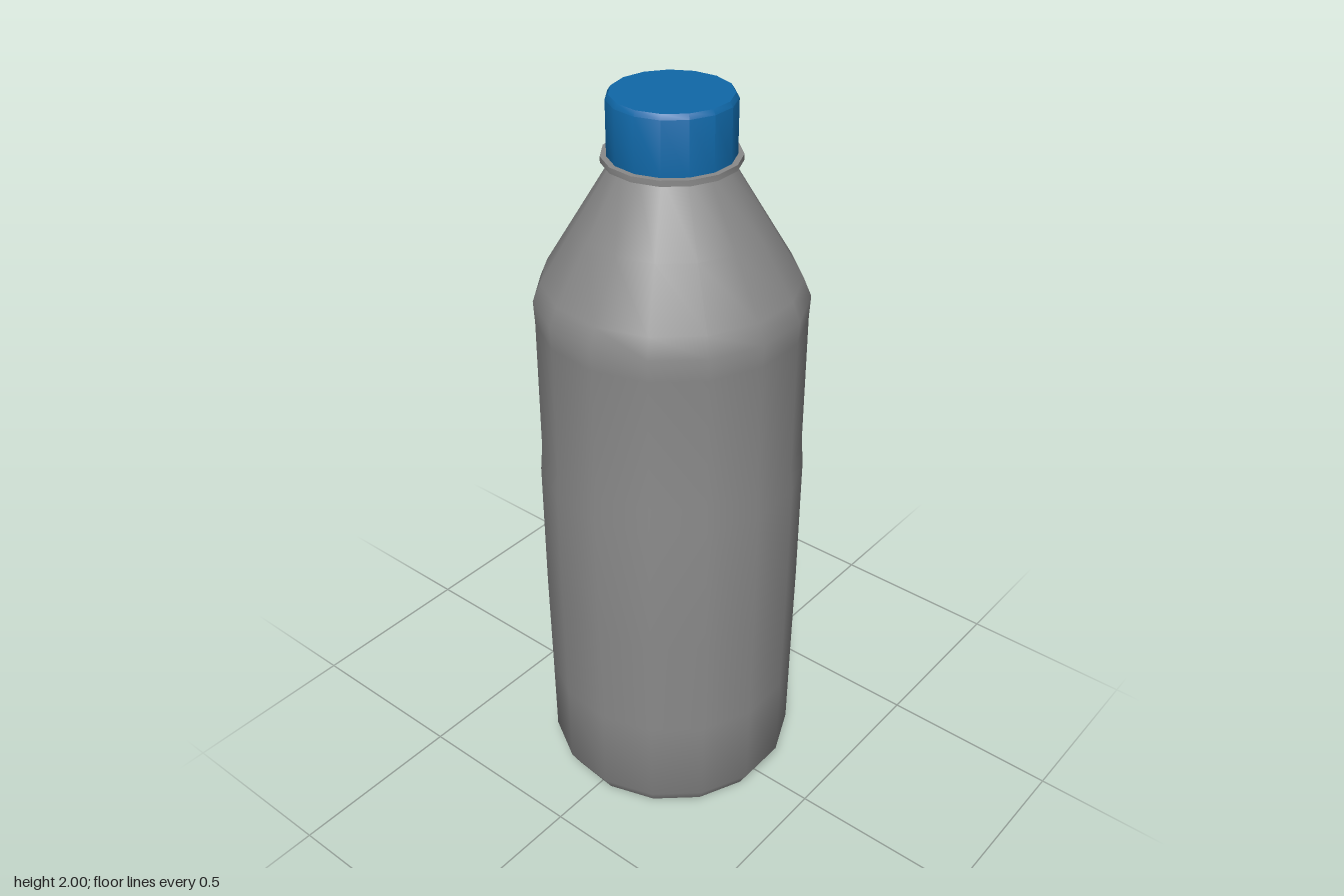
import * as THREE from 'three';
import { toCreasedNormals } from 'three/addons/utils/BufferGeometryUtils.js';

const SIDES = 15;

// Revolves a bottom-to-top [radius, height] profile, with a corner at the back
function revolve(name, profile, material) {
  const points = profile.map(([r, y]) => new THREE.Vector2(r, y));
  const lathe = new THREE.LatheGeometry(points, SIDES, Math.PI);
  const mesh = new THREE.Mesh(toCreasedNormals(lathe, THREE.MathUtils.degToRad(38)), material);
  mesh.name = name;
  return mesh;
}

export function createModel() {
  const grey = new THREE.MeshStandardMaterial({ color: 0x8a8a8a });
  grey.name = 'grey plastic';
  const blue = new THREE.MeshStandardMaterial({ color: 0x1068a8 });
  blue.name = 'blue plastic';

  const bottle = new THREE.Group();
  bottle.name = 'bottle';

  // Raised base
  bottle.add(revolve('base', [[0, 0.06], [0.08, 0.05], [0.22, 0.02], [0.322, 0]], grey));

  // Body with a bevelled foot, slightly slimmer upper half and sloping shoulder
  bottle.add(revolve('body', [
    [0.322, 0], [0.348, 0.045], [0.35, 0.3], [0.353, 0.6], [0.353, 0.98],
    [0.347, 1.05], [0.346, 1.42], [0.349, 1.48], [0.328, 1.53],
    [0.24, 1.675], [0.14, 1.84],
  ], grey));

  // Thin collar under the cap
  bottle.add(revolve('collar', [[0.12, 1.836], [0.172, 1.836], [0.172, 1.851], [0.12, 1.851]], grey));

  // Cap with a small bevel round its top
  bottle.add(revolve('cap', [[0.12, 1.851], [0.157, 1.851], [0.157, 1.988], [0.149, 2], [0, 2]], blue));

  return bottle;
}
